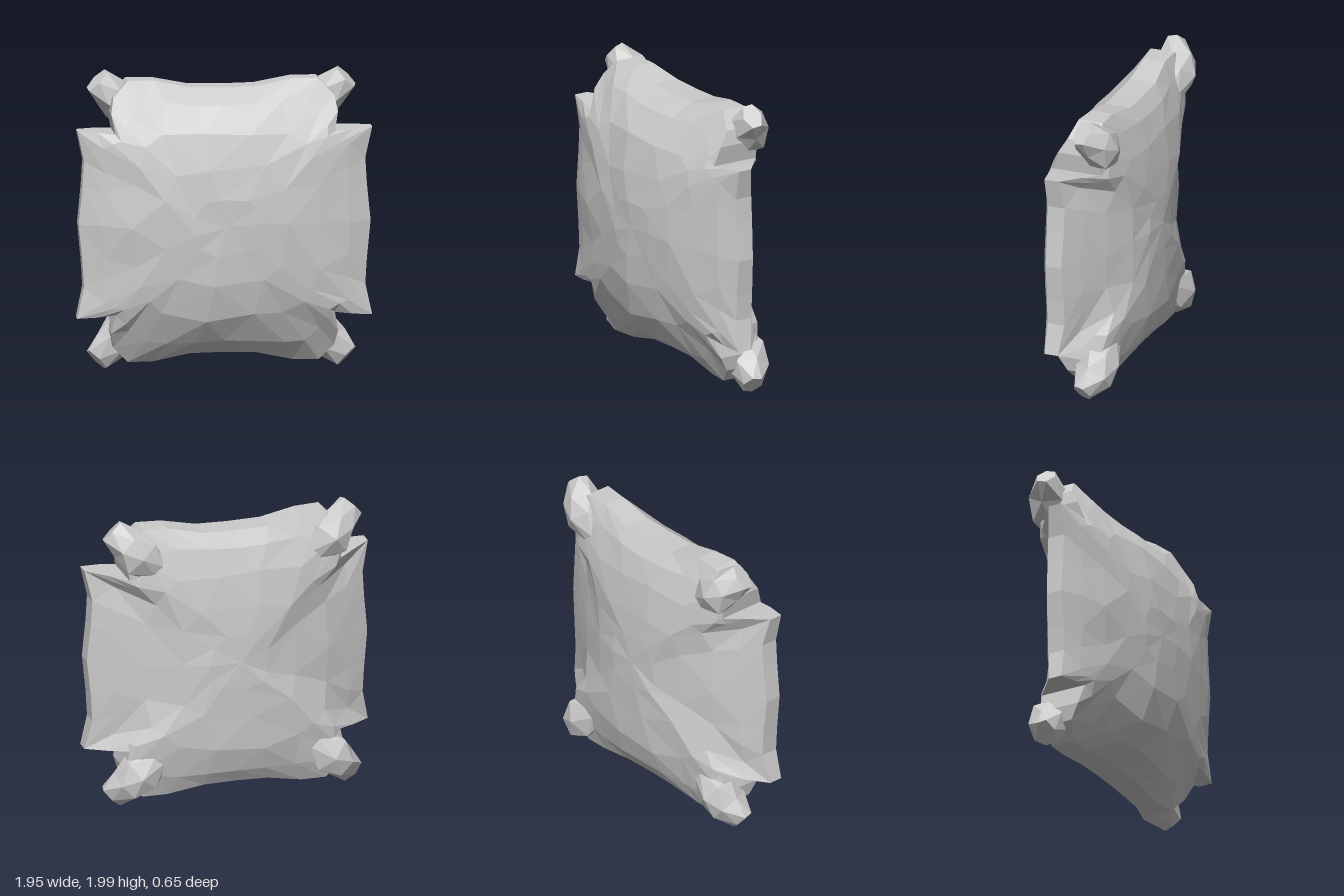
import * as THREE from 'three';

const material = new THREE.MeshStandardMaterial({ color: 0xcccccc, flatShading: true, side: THREE.DoubleSide });

// One quarter of the seam: x, height from the middle, front depth, back depth
const QUARTER = [
  [0.965, 0, 0.12, 0.01], [0.94, 0.25, 0.12, 0], [0.93, 0.42, 0.12, 0], [0.975, 0.625, 0.125, 0.03],
  [0.84, 0.615, 0.15, -0.08], [0.725, 0.6, 0.16, -0.17], [0.75, 0.73, 0.12, -0.17],
  [0.73, 0.83, 0.06, -0.16], [0.63, 0.935, 0.02, -0.15], [0.46, 0.935, 0, -0.15],
  [0.22, 0.885, 0, -0.18], [0, 0.88, 0, -0.18],
];

function seededRandom(seed) {
  let s = seed;
  return () => (s = (s * 16807) % 2147483647) / 2147483647;
}

// Mesh from points and triangles, dropping collapsed triangles
function makeMesh(name, points, triangles) {
  const kept = triangles.filter(([a, b, c]) => a !== b && b !== c && a !== c);
  const geometry = new THREE.BufferGeometry();
  geometry.setAttribute('position', new THREE.Float32BufferAttribute(
    kept.flat().flatMap((i) => points[i].toArray()), 3));
  geometry.computeVertexNormals();
  const mesh = new THREE.Mesh(geometry, material);
  mesh.name = name;
  return mesh;
}

// Full seam, counter-clockwise seen from the front
function seamOutline() {
  const flip = (list, sx, sy) => list.map(([x, y, f, b]) => [x * sx, y * sy, f, b]);
  const up = QUARTER.slice(0, -1), down = QUARTER.slice(1).reverse();
  return [...flip(up, 1, 1), ...flip(down, -1, 1), ...flip(up, -1, -1), ...flip(down, 1, -1)];
}

// Fullness of a face along a direction: flatter towards top and bottom, leaner at the corners
function fullness(x, y, side) {
  const h = x * x / (x * x + y * y);
  const [vertical, horizontal, corner] = side > 0 ? [3.8, 2.6, 1.2] : [3.7, 1.9, 0.8];
  return THREE.MathUtils.lerp(vertical, horizontal, h) - 4 * h * (1 - h) * corner;
}

// Cushion: rings shrink from the seam to the middle of each face, getting coarser inwards
function createCushion() {
  const outline = seamOutline();
  const n = outline.length;
  const random = seededRandom(71);
  const jitter = (amount) => (random() - 0.5) * amount;
  const points = [], triangles = [];
  const rings = [[1, 1], [0.86, 1], [0.66, 2], [0.42, 4], [0.2, 4], [0, n]];
  const starts = [];

  for (const side of [1, -1]) {
    const start = points.length;
    starts.push(start);
    for (const [s] of rings) {
      for (const [x, y, front, back] of outline) {
        // Inner rings relax towards a rounded square, losing the corner notches
        const round = 0.94 / Math.pow(x ** 4 + y ** 4, 0.25);
        const k = s * THREE.MathUtils.lerp(round, 1, s ** 5);
        const rim = side > 0 ? front : back;
        const bulge = 1 - Math.pow(s, fullness(x, y, side));
        const z = THREE.MathUtils.lerp(rim, 0.325 * side, bulge);
        const loose = s > 0 && s < 1 ? s < 0.8 ? 1 : 0.4 : 0;
        points.push(new THREE.Vector3(
          x * k + jitter(0.06) * loose, 1 + y * k + jitter(0.06) * loose, z + jitter(0.012) * loose));
      }
    }
    const index = (r, i) => {
      const j = i % n;
      return start + r * n + j - (j % rings[r][1]);
    };
    for (let r = 0; r < rings.length - 1; r++) {
      for (let i = 0; i < n; i++) {
        const a = index(r, i), b = index(r, i + 1), c = index(r + 1, i + 1), d = index(r + 1, i);
        if (side > 0) triangles.push([a, b, c], [a, c, d]);
        else triangles.push([a, c, b], [a, d, c]);
      }
    }
  }
  // Seam band joining both faces
  for (let i = 0; i < n; i++) {
    const j = (i + 1) % n;
    const [f, b] = starts;
    triangles.push([f + i, b + i, b + j], [f + i, b + j, f + j]);
  }
  return makeMesh('cushion', points, triangles);
}

// Corner knot: a loft from the back of the cushion out to a blunt tip
const KNOT = [ // x, height from the middle, z, half width, half depth
  [0.52, 0.65, -0.17, 0.08, 0.06],
  [0.64, 0.75, -0.16, 0.15, 0.12],
  [0.73, 0.84, -0.12, 0.12, 0.13],
  [0.825, 0.93, -0.08, 0.095, 0.06],
];

function createKnot(name, sx, sy, seed) {
  const random = seededRandom(seed);
  const sides = 6;
  const points = [], triangles = [];
  KNOT.forEach(([x, y, z, w, d], r) => {
    for (let i = 0; i < sides; i++) {
      const angle = ((i + (r % 2) * 0.5) / sides) * Math.PI * 2;
      const wobble = 0.96 + random() * 0.1;
      const u = Math.cos(angle) * w * wobble * Math.SQRT1_2, v = Math.sin(angle) * d * wobble;
      points.push(new THREE.Vector3(sx * (x + u + v * -0.2), 1 + sy * (y - u - v * 0.2), z + v));
    }
  });
  const last = (KNOT.length - 1) * sides;
  const add = (a, b, c) => triangles.push(sx * sy > 0 ? [a, c, b] : [a, b, c]);
  for (let r = 0; r < KNOT.length - 1; r++) {
    for (let i = 0; i < sides; i++) {
      const j = (i + 1) % sides, a = r * sides, b = a + sides;
      if (r % 2) {
        add(a + i, a + j, b + j);
        add(a + i, b + j, b + i);
      } else {
        add(a + i, a + j, b + i);
        add(a + j, b + j, b + i);
      }
    }
  }
  for (let i = 1; i < sides - 1; i++) {
    add(0, i + 1, i);
    add(last, last + i, last + i + 1);
  }
  return makeMesh(name, points, triangles);
}

export function createModel() {
  const group = new THREE.Group();
  group.name = 'knottedPillow';
  group.add(createCushion());
  // Four tied corners
  group.add(createKnot('topLeftKnot', 1, 1, 11));
  group.add(createKnot('topRightKnot', -1, 1, 23));
  group.add(createKnot('bottomLeftKnot', 1, -1, 37));
  group.add(createKnot('bottomRightKnot', -1, -1, 53));
  return group;
}
